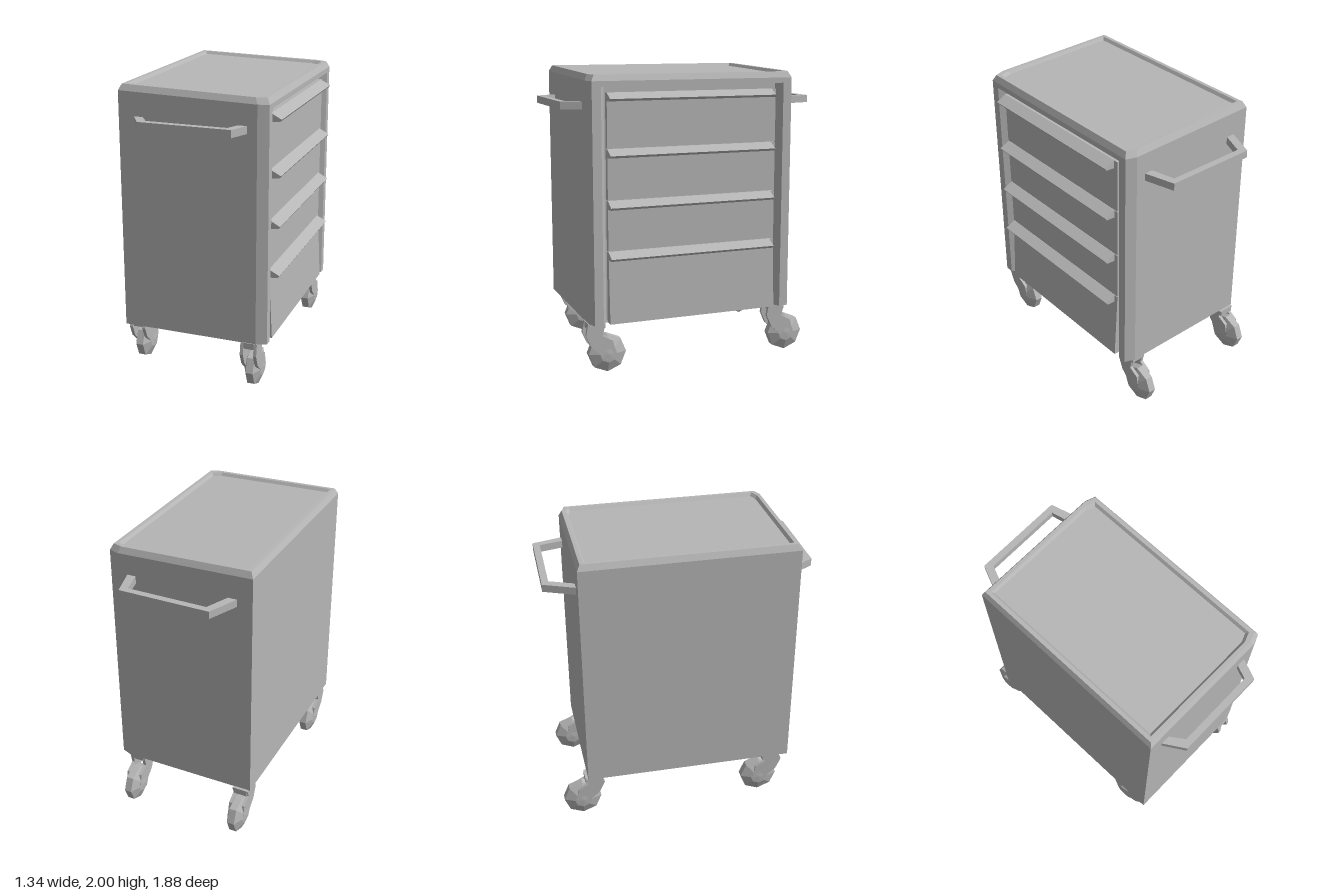
import * as THREE from 'three';

const steel = new THREE.MeshStandardMaterial({ color: 0xb6b6b6, flatShading: true });
steel.name = 'grey steel';

function part(name, geometry, parent) {
  const mesh = new THREE.Mesh(geometry, steel);
  mesh.name = name;
  parent.add(mesh);
  return mesh;
}

const extrude = (points, depth) => new THREE.ExtrudeGeometry(
  new THREE.Shape(points.map(([x, y]) => new THREE.Vector2(x, y))),
  { depth, bevelEnabled: false });

// Extrude a plan outline of (x, z) points upwards from y0 to y1
const plan = (points, y0, y1) => extrude(points.map(([x, z]) => [x, -z]), y1 - y0)
  .rotateX(-Math.PI / 2).translate(0, y0, 0);

// Closed loft through rings of 3D points, bottom to top
function loft(rings) {
  const n = rings[0].length, pos = [], index = [];
  rings.forEach(ring => ring.forEach(p => pos.push(...p)));
  for (let r = 0; r < rings.length - 1; r++) {
    for (let i = 0; i < n; i++) {
      const a = r * n + i, b = r * n + (i + 1) % n;
      index.push(a, b, b + n, a, b + n, a + n);
    }
  }
  const top = (rings.length - 1) * n;
  for (let i = 1; i < n - 1; i++) {
    index.push(0, i + 1, i, top, top + i, top + i + 1);
  }
  const g = new THREE.BufferGeometry();
  g.setAttribute('position', new THREE.Float32BufferAttribute(pos, 3));
  g.setIndex(index);
  g.computeVertexNormals();
  return g;
}

// Drawers face local +x; the push handles sit on the two z ends
function addCabinet(cart) {
  part('cabinetBody', plan([
    [-0.5, 0.72], [0.43, 0.725], [0.5, 0.7], [0.5, 0.64], [0.44, 0.605],
    [0.44, -0.605], [0.5, -0.64], [0.5, -0.7], [0.43, -0.725], [-0.5, -0.72],
  ], 0.35, 1.9), cart);

  // Lid with a bevelled rim and a shallow tray, falling slightly to the drawers
  const outline = [[-0.5, 0.72], [0.43, 0.725], [0.5, 0.7], [0.5, -0.7], [0.43, -0.725], [-0.5, -0.72]];
  const levels = [[1.9, 0], [1.96, 0], [2.0, 0.02], [2.0, 0.045], [1.98, 0.06]];
  part('lid', loft(levels.map(([y, inset], k) => outline.map(([x, z]) => [
    x * (1 - inset / 0.5), y - (k ? 0.025 * (x + 0.5) : 0), z * (1 - inset / 0.72),
  ]))), cart);
}

function addDrawers(cart) {
  const tops = [1.86, 1.5, 1.165, 0.83];
  tops.forEach((y, i) => {
    const drawer = new THREE.Group();
    drawer.name = 'drawer' + (i + 1);
    cart.add(drawer);
    // The bottom panel slopes out until it is flush with the posts
    const last = i === tops.length - 1;
    const low = last ? 0.35 : tops[i + 1] + 0.005;
    const face = [[0.43, low], [last ? 0.5 : 0.475, low], [0.475, y], [0.43, y]];
    part('drawerFront', extrude(face, 1.19).translate(0, 0, -0.595), drawer);
    // Full-width pull lip
    const lip = [[0.46, y - 0.055], [0.535, y - 0.05], [0.545, y - 0.035], [0.475, y + 0.002], [0.46, y]];
    part('drawerPull', extrude(lip, 1.16).translate(0, 0, -0.565), drawer);
  });
}

function addPushHandle(cart, name, side, reach) {
  const outline = [
    [-0.4, 0.71], [-0.31, reach], [0.31, reach], [0.37, 0.71],
    [0.31, 0.71], [0.27, reach - 0.045], [-0.27, reach - 0.045], [-0.34, 0.71],
  ].map(([x, z]) => [x, z * side]);
  part(name, plan(outline, 1.75, 1.8), cart);
}

function addCaster(cart, x, z, wheelY) {
  const caster = new THREE.Group();
  caster.name = 'caster';
  caster.position.set(x, 0, z);
  cart.add(caster);

  part('swivelMount', plan([[-0.05, 0.06], [0.05, 0.06], [0.05, -0.06], [-0.05, -0.06]], 0.31, 0.352), caster);

  // Two raked fork plates
  const y = wheelY;
  const plate = [
    [0.06, 0.35], [0.075, y + 0.14], [0.04, y + 0.06], [-0.07, y - 0.04],
    [-0.13, y], [-0.11, y + 0.09], [-0.04, y + 0.13], [-0.06, 0.35],
  ].map(([pz, py]) => [-pz, py]);
  for (const s of [-1, 1]) {
    part('forkPlate', extrude(plate, 0.022).rotateY(Math.PI / 2).translate(s * 0.046 - 0.011, 0, 0), caster);
  }

  // Faceted wheel, thicker at the hub
  const profile = [[0, -0.06], [0.06, -0.055], [0.13, -0.025], [0.13, 0.025], [0.06, 0.055], [0, 0.06]]
    .map(([r, h]) => new THREE.Vector2(r, h));
  const wheel = part('wheel', new THREE.LatheGeometry(profile, 8).rotateZ(Math.PI / 2), caster);
  wheel.position.set(0, wheelY, -0.08);
}

export function createModel() {
  const model = new THREE.Group();
  model.name = 'toolCart';

  // The whole cart stands turned on its base
  const cart = new THREE.Group();
  cart.name = 'cart';
  cart.rotation.y = -0.255;
  cart.position.z = 0.05;
  model.add(cart);

  addCabinet(cart);
  addDrawers(cart);
  addPushHandle(cart, 'frontPushHandle', 1, 0.855);
  addPushHandle(cart, 'backPushHandle', -1, 0.925);

  addCaster(cart, 0.385, 0.67, 0.13);
  addCaster(cart, 0.385, -0.65, 0.13);
  addCaster(cart, -0.44, 0.6, 0.17);
  addCaster(cart, -0.435, -0.68, 0.17);
  return model;
}
